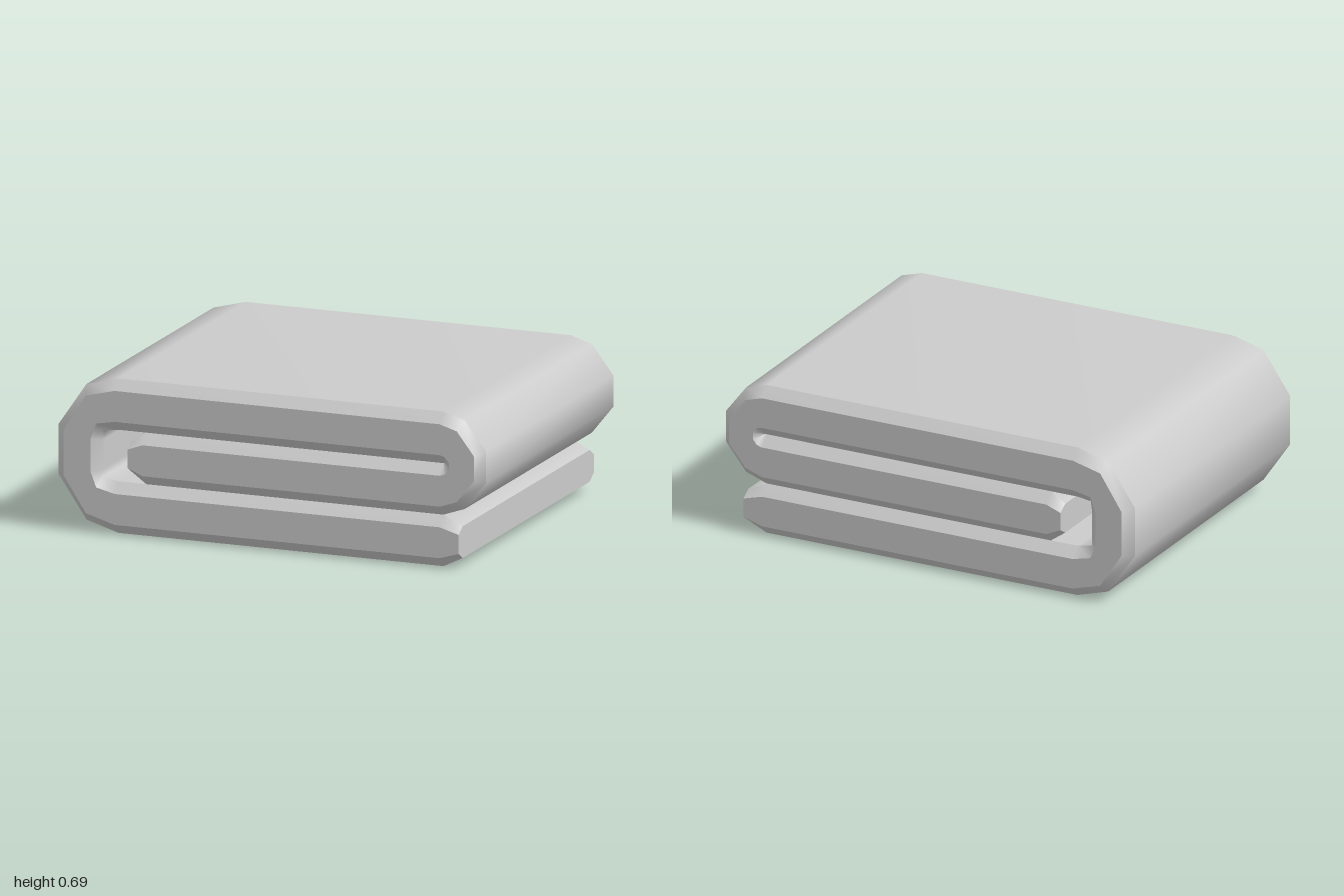
import * as THREE from 'three';

// Stations along the folded strip: [outerX, outerY, innerX, innerY]
const STATIONS = [
  [0.89, 0.045, 0.89, 0.187], [0.8, 0, 0.8, 0.23],            // loose bottom end
  [-0.72, 0, -0.72, 0.23], [-0.87, 0.045, -0.79, 0.245],      // big left fold
  [-1, 0.235, -0.79, 0.28], [-1, 0.46, -0.79, 0.41],
  [-0.87, 0.65, -0.79, 0.45], [-0.72, 0.69, -0.72, 0.46],
  [0.8, 0.69, 0.8, 0.46], [0.9, 0.66, 0.805, 0.46],           // tight right fold
  [1, 0.53, 0.805, 0.46], [1, 0.39, 0.805, 0.46],
  [0.9, 0.265, 0.805, 0.46], [0.8, 0.23, 0.8, 0.46],
  [-0.59, 0.23, -0.59, 0.46], [-0.66, 0.28, -0.66, 0.415],    // tucked inner end
];
const Z_EDGE = 0.72, Z_FACE = 0.765, BEVEL = 0.2;

// Eight-cornered cross-section of the strip, bevelled along both sides
function ring([ox, oy, ix, iy]) {
  const at = (t, z) => [ox + (ix - ox) * t, oy + (iy - oy) * t, z];
  const half = [at(0, Z_EDGE), at(BEVEL, Z_FACE), at(1 - BEVEL, Z_FACE), at(1, Z_EDGE)];
  return [...half, ...half.map(([x, y, z]) => [x, y, -z]).reverse()];
}

function foldedStripGeometry() {
  const rings = STATIONS.map(ring);
  const positions = [], index = [];
  const add = (p) => positions.push(...p) / 3 - 1;

  // One band per side of the section: smooth along the fold, sharp across it
  for (let j = 0; j < 8; j++) {
    const start = positions.length / 3;
    rings.forEach((r) => { add(r[j]); add(r[(j + 1) % 8]); });
    for (let s = 0; s < rings.length - 1; s++) {
      const a = start + s * 2, b = a + 1, d = a + 2, c = a + 3;
      index.push(a, b, c, a, c, d);
    }
  }

  // Flat ends of the strip
  const cap = (r) => {
    const start = positions.length / 3;
    r.forEach(add);
    for (let k = 1; k < 7; k++) index.push(start, start + k, start + k + 1);
  };
  cap([...rings[0]].reverse());
  cap(rings[rings.length - 1]);

  const geometry = new THREE.BufferGeometry();
  geometry.setAttribute('position', new THREE.Float32BufferAttribute(positions, 3));
  geometry.setIndex(index);
  geometry.computeVertexNormals();
  return geometry;
}

export function createModel() {
  const group = new THREE.Group();
  group.name = 'foldedTowel';
  const cloth = new THREE.Mesh(
    foldedStripGeometry(),
    new THREE.MeshStandardMaterial({ color: 0xcccccc })
  );
  cloth.name = 'foldedCloth';
  group.add(cloth);
  return group;
}
